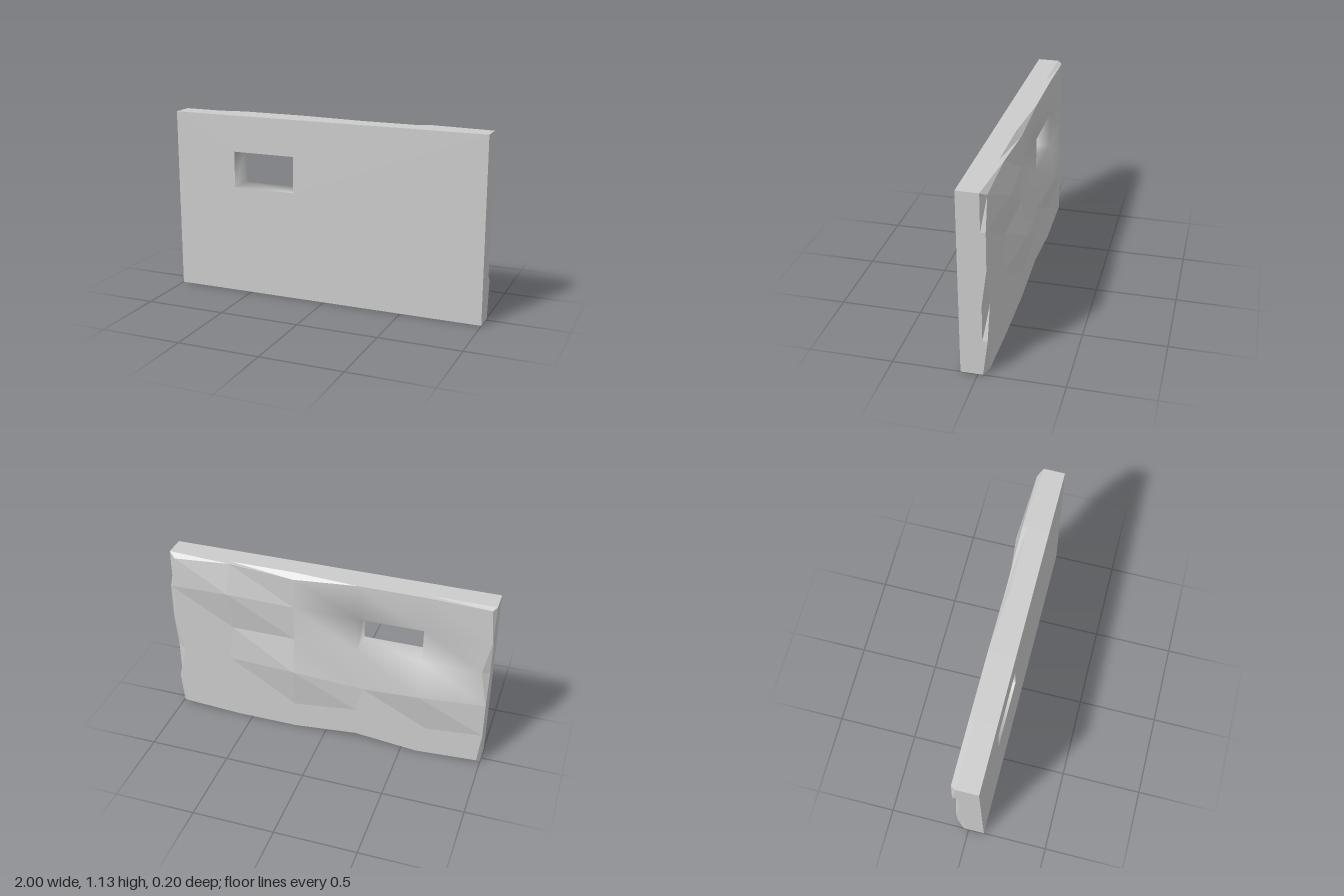
import * as THREE from 'three';

const N = 5, W = 2, H = 1.133;
const FRONT = 0.1, MID = -0.03, BACK = -0.06;

// Shifted corners of the rough back, keyed by column,row
const shifted = {
  '0,0': [-0.98, 0.025, BACK], '2,0': [-0.2, 0.04, BACK], '5,0': [0.96, 0.02, BACK],
  '1,1': [-0.65, 0.195, BACK], '3,1': [0.2, 0.18, BACK],
  '1,2': [-0.6, 0.45, -0.1], '2,2': [-0.24, 0.4, BACK], '3,2': [0.2, 0.455, -0.1],
  '4,2': [0.635, 0.44, BACK], '5,2': [0.94, 0.44, BACK],
  '0,3': [-0.955, 0.69, BACK],
  '4,4': [0.61, 0.94, -0.1],
  '0,5': [-0.98, 1.12, BACK], '3,5': [0.2, 1.1, BACK], '5,5': [0.957, 1.106, BACK],
};

// Regular grid point at depth z, and the rough back point
const grid = (i, j, z) => [-W / 2 + (W * i) / N, (H * j) / N, z];
const rough = (i, j) => shifted[`${i},${j}`] || grid(i, j, BACK);

// Geometry from quads whose corners run counter-clockwise; equal corners are shared
function quadGeometry(quads) {
  const positions = [], index = [], seen = new Map();
  const id = (p) => {
    const key = p.join();
    if (!seen.has(key)) {
      seen.set(key, positions.length / 3);
      positions.push(...p);
    }
    return seen.get(key);
  };
  for (const quad of quads) {
    const [a, b, c, d] = quad.map(id);
    index.push(a, b, c, a, c, d);
  }
  const geometry = new THREE.BufferGeometry();
  geometry.setAttribute('position', new THREE.Float32BufferAttribute(positions, 3));
  geometry.setIndex(index);
  geometry.computeVertexNormals();
  return geometry;
}

export function createModel() {
  const group = new THREE.Group();
  const flat = new THREE.MeshStandardMaterial({ color: 0xcccccc, flatShading: true });
  const smooth = new THREE.MeshStandardMaterial({ color: 0xcccccc });
  const add = (name, geometry, material) => {
    const mesh = new THREE.Mesh(geometry, material);
    mesh.name = name;
    group.add(mesh);
  };

  // Smooth front face with the window opening
  const rect = (i0, j0, i1, j1) =>
    [[i0, j0], [i1, j0], [i1, j1], [i0, j1]].map(([i, j]) => new THREE.Vector2(...grid(i, j, 0)));
  const face = new THREE.Shape(rect(0, 0, N, N));
  face.holes.push(new THREE.Path(rect(1, 3, 2, 4)));
  const front = new THREE.ShapeGeometry(face);
  front.translate(0, 0, FRONT);
  add('frontFace', front, flat);

  // Outer edges: a straight band, then a chipped band reaching the rough back
  const border = [];
  for (let k = 0; k < N; k++) border.push([k, 0]);
  for (let k = 0; k < N; k++) border.push([N, k]);
  for (let k = N; k > 0; k--) border.push([k, N]);
  for (let k = N; k > 0; k--) border.push([0, k]);
  const edges = [];
  border.forEach((p, k) => {
    const q = border[(k + 1) % border.length];
    edges.push([grid(...p, FRONT), grid(...p, MID), grid(...q, MID), grid(...q, FRONT)]);
    edges.push([grid(...p, MID), rough(...p), rough(...q), grid(...q, MID)]);
  });
  add('outerEdges', quadGeometry(edges), flat);

  // Rough back: faceted away from the window, soft around it
  const facets = [], soft = [];
  for (let i = 0; i < N; i++) {
    for (let j = 0; j < N; j++) {
      if (i === 1 && j === 3) continue;
      const nearWindow = Math.abs(i - 1) <= 1 && Math.abs(j - 3) <= 1;
      (nearWindow ? soft : facets).push(
        [rough(i, j), rough(i, j + 1), rough(i + 1, j + 1), rough(i + 1, j)]);
    }
  }
  add('roughBack', quadGeometry(facets), flat);

  // Window walls share their rear corners with the soft area
  const opening = [[1, 3], [1, 4], [2, 4], [2, 3]];
  opening.forEach((p, k) => {
    const q = opening[(k + 1) % 4];
    soft.push([grid(...p, FRONT), rough(...p), rough(...q), grid(...q, FRONT)]);
  });
  add('windowSurround', quadGeometry(soft), smooth);

  return group;
}
